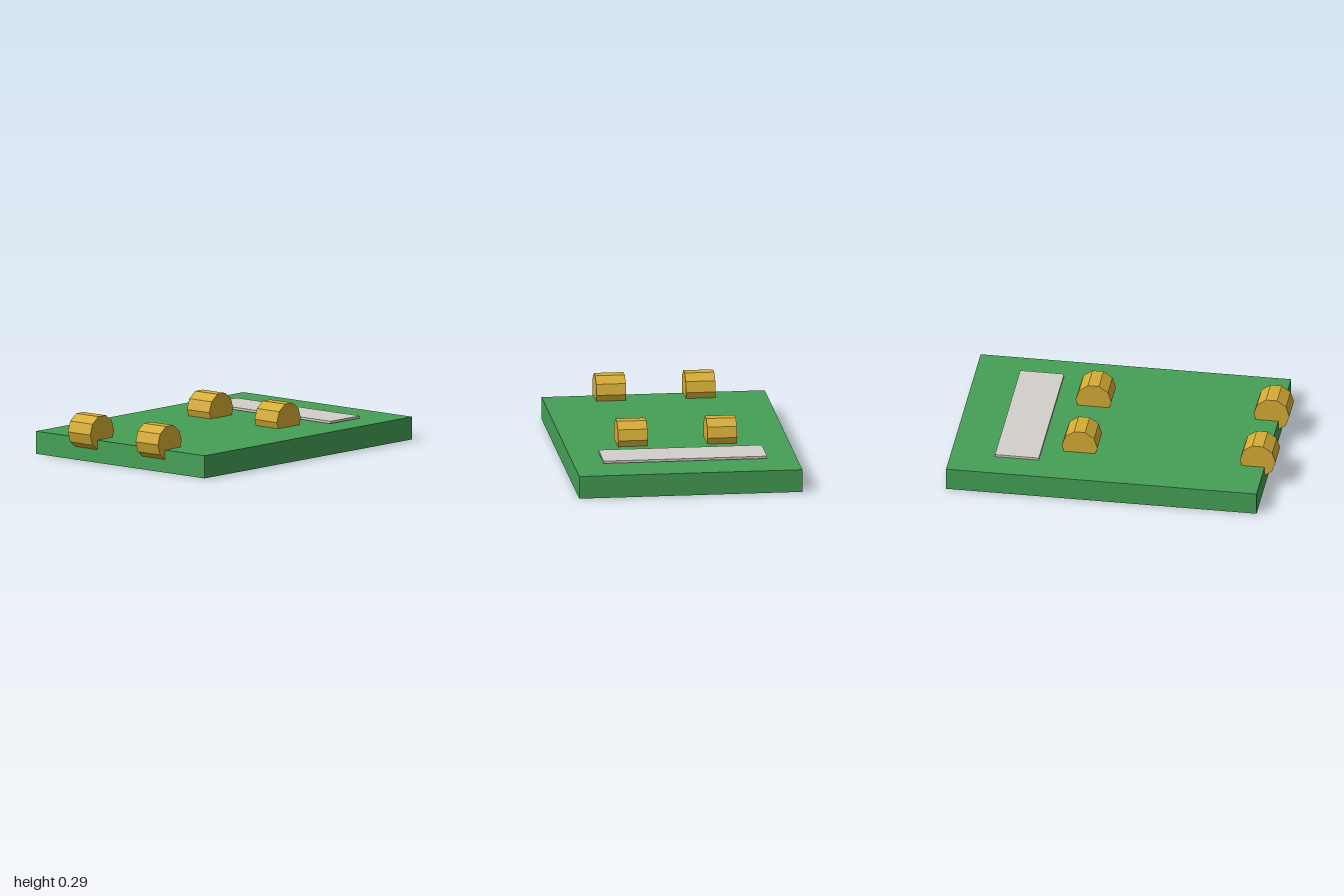
import * as THREE from 'three';

export function createModel() {
  const group = new THREE.Group();
  const paint = (color) => new THREE.MeshStandardMaterial({ color, flatShading: true });
  const green = paint(0x45a056);
  const gold = paint(0xd4ac35);
  const silver = paint(0xd3d0cb);

  const add = (name, geometry, material, x, y, z) => {
    const mesh = new THREE.Mesh(geometry, material);
    mesh.name = name;
    mesh.position.set(x, y, z);
    group.add(mesh);
  };

  // Thick rectangular base slab
  add('base', new THREE.BoxGeometry(1.382, 0.141, 1.932), green, 0, 0.0705, -0.034);

  // Thin strip hovering just above the rear of the slab
  add('rearStrip', new THREE.BoxGeometry(1.012, 0.015, 0.273), silver, 0, 0.1535, -0.588);

  // Four ten-sided rollers lying across, partly sunk into the slab
  const roller = new THREE.CylinderGeometry(0.111, 0.111, 0.183, 10).rotateZ(Math.PI / 2);
  for (const [end, z] of [['front', 0.889], ['rear', -0.219]]) {
    for (const [side, x] of [['Left', 0.277], ['Right', -0.277]]) {
      add(`${end}${side}Roller`, roller, gold, x, 0.181, z);
    }
  }

  return group;
}
